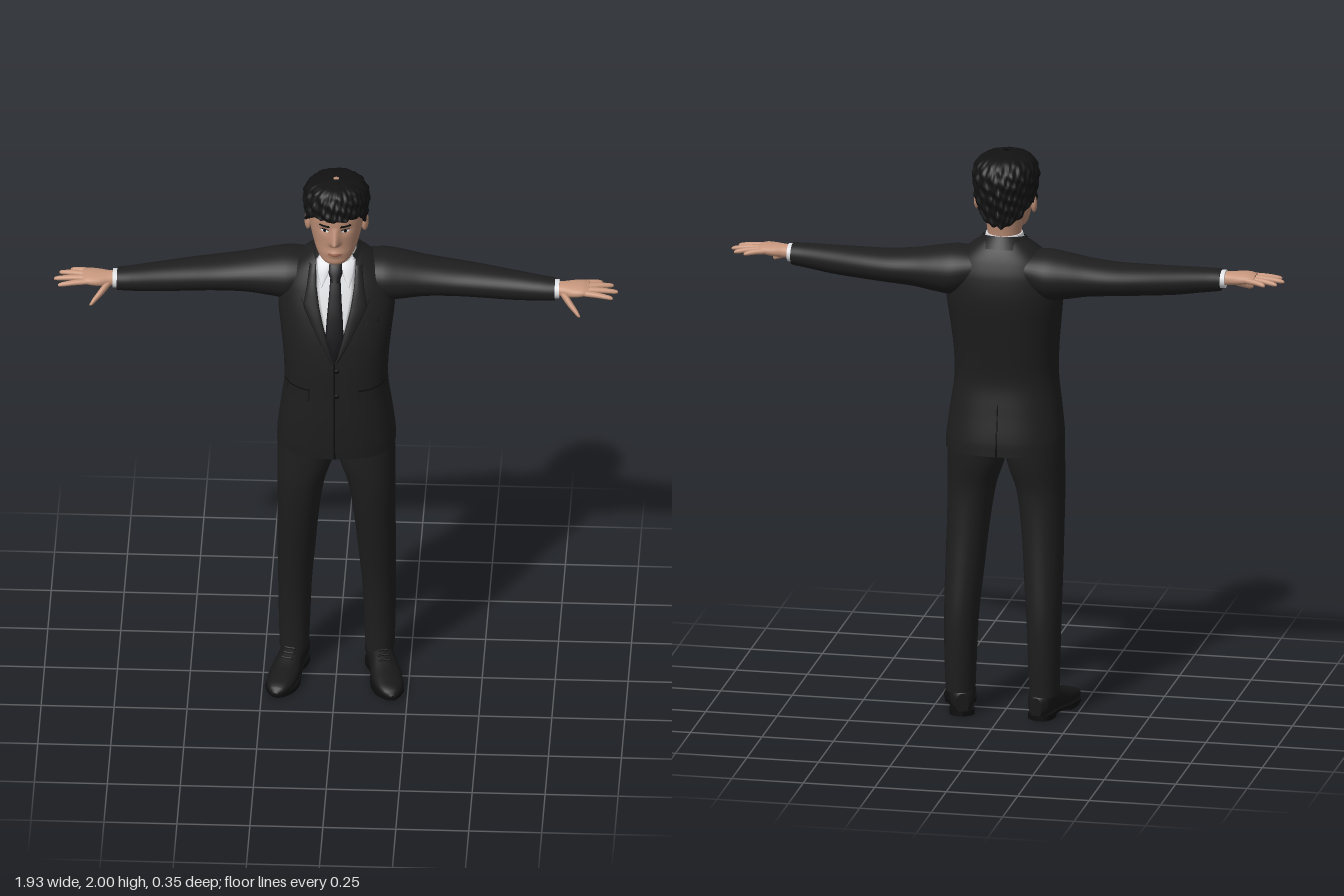
import * as THREE from 'three';
import { mergeVertices } from 'three/addons/utils/BufferGeometryUtils.js';
import { ParametricGeometry } from 'three/addons/geometries/ParametricGeometry.js';

const mat = (name, color) => new THREE.MeshStandardMaterial({ name, color, side: THREE.DoubleSide });
const { sin, cos, abs, sign, max, min, exp, PI } = Math;

// Smooth interpolation of a row table at its first column
function at(rows, t) {
  let i = 0;
  while (i < rows.length - 2 && t > rows[i + 1][0]) i++;
  const slope = (k, c) => {
    const a = rows[max(k - 1, 0)], b = rows[min(k + 1, rows.length - 1)];
    return (b[c] - a[c]) / (b[0] - a[0]);
  };
  const A = rows[i], B = rows[i + 1], h = B[0] - A[0];
  const s = min(max((t - A[0]) / h, 0), 1), s2 = s * s, s3 = s2 * s;
  return A.map((a, c) => c === 0 ? t : (2 * s3 - 3 * s2 + 1) * a + (s3 - 2 * s2 + s) * h * slope(i, c)
    + (3 * s2 - 2 * s3) * B[c] + (s3 - s2) * h * slope(i + 1, c));
}

// Closed body from rows [t, centreA, centreB, radiusA, radiusB] along an axis
function loft(rows, axis, { p = 2, seg = 40, steps = 4, rule } = {}) {
  const pos = [], idx = [], ts = [];
  rows.forEach((r, i) => {
    if (i) for (let k = 1; k <= steps; k++) ts.push(rows[i - 1][0] + (r[0] - rows[i - 1][0]) * k / steps);
    else ts.push(r[0]);
  });
  const place = (t, a, b) => axis === 'x' ? [t, a, b] : axis === 'y' ? [a, t, b] : [a, b, t];
  const ring = (t) => {
    const [, ca, cb, ra, rb] = at(rows, t), start = pos.length / 3;
    for (let j = 0; j < seg; j++) {
      const q = j / seg * 2 * PI, c = cos(q), s = sin(q);
      const v = place(t, ca + ra * sign(c) * abs(c) ** (2 / p), cb + rb * sign(s) * abs(s) ** (2 / p));
      if (rule) rule(v, cb);
      pos.push(...v);
    }
    return start;
  };
  // The y axis turns the other way round from x and z
  const tri = (a, b, c) => axis === 'y' ? idx.push(a, c, b) : idx.push(a, b, c);
  const starts = ts.map(ring);
  for (let i = 0; i + 1 < starts.length; i++) for (let j = 0; j < seg; j++) {
    const k = (j + 1) % seg, a = starts[i], b = starts[i + 1];
    tri(a + j, a + k, b + j);
    tri(a + k, b + k, b + j);
  }
  [ts[0], ts[ts.length - 1]].forEach((t, end) => {
    const s = ring(t), r = at(rows, t), m = pos.length / 3;
    pos.push(...place(t, r[1], r[2]));
    for (let j = 0; j < seg; j++) {
      const k = (j + 1) % seg;
      end ? tri(m, s + j, s + k) : tri(m, s + k, s + j);
    }
  });
  const g = new THREE.BufferGeometry();
  g.setAttribute('position', new THREE.Float32BufferAttribute(pos, 3));
  g.setIndex(idx);
  g.computeVertexNormals();
  return g;
}

function mirrored(geo) {
  const g = geo.index ? geo.clone() : mergeVertices(geo);
  g.scale(-1, 1, 1);
  const a = g.index.array;
  for (let i = 0; i < a.length; i += 3) [a[i], a[i + 1]] = [a[i + 1], a[i]];
  return g;
}

const surface = (f, nu, nv) => new ParametricGeometry((u, v, o) => o.set(...f(u, v)), nu, nv);
const lerpList = (list, t) => {
  const f = min(max(t, 0), 1) * (list.length - 1), i = min(Math.floor(f), list.length - 2);
  return list[i] + (list[i + 1] - list[i]) * (f - i);
};

// Depth of a lofted body's front (side 1) or back (side -1)
function depth(rows, p, x, y, side = 1) {
  const [, cx, cz, rx, rz] = at(rows, y);
  return cz + side * rz * max(0, 1 - abs((x - cx) / rx) ** p) ** (1 / p);
}

const TORSO = [[0.95, 0, -0.017, 0.203, 0.157], [1.0, 0, -0.013, 0.202, 0.158], [1.1, 0, -0.002, 0.19, 0.152],
  [1.2, 0, 0.005, 0.178, 0.145], [1.3, 0, 0, 0.18, 0.15], [1.4, 0, -0.012, 0.19, 0.152], [1.5, 0, -0.03, 0.2, 0.145],
  [1.58, 0, -0.042, 0.192, 0.127], [1.63, 0, -0.046, 0.165, 0.108], [1.67, 0, -0.047, 0.12, 0.088], [1.7, 0, -0.052, 0.08, 0.062]];
const HEAD = [[1.7, 0, 0.05, 0.022, 0.03], [1.715, 0, 0.055, 0.045, 0.054], [1.74, 0, 0.03, 0.066, 0.083],
  [1.78, 0, 0.005, 0.081, 0.105], [1.83, 0, -0.005, 0.092, 0.114], [1.88, 0, -0.01, 0.095, 0.118],
  [1.93, 0, -0.012, 0.09, 0.11], [1.97, 0, -0.01, 0.055, 0.065], [1.98, 0, -0.01, 0.02, 0.02]];
const HAIR = [[1.74, 0, -0.06, 0.068, 0.055], [1.8, 0, -0.022, 0.098, 0.104], [1.86, 0, -0.01, 0.106, 0.126],
  [1.92, 0, -0.01, 0.113, 0.127], [1.96, 0, -0.006, 0.102, 0.112], [1.985, 0, 0, 0.072, 0.08], [1.998, 0, 0.005, 0.01, 0.01]];

// Relief of nose, eye sockets, lips and chin
function relief(x, y) {
  const nose = y > 1.8 ? max(0, 1 - (y - 1.8) / 0.06) : max(0, 1 - (1.8 - y) / 0.014);
  return 0.033 * nose * exp(-((x / 0.014) ** 2))
    - 0.008 * exp(-(((abs(x) - 0.036) / 0.018) ** 2) - ((y - 1.845) / 0.014) ** 2)
    + 0.007 * exp(-((x / 0.026) ** 2) - ((y - 1.757) / 0.011) ** 2);
}
const faceZ = (x, y) => depth(HEAD, 2, x, y) + relief(x, y);
const chestZ = (x, y) => depth(TORSO, 2.4, x, y);
const backZ = (x, y) => depth(TORSO, 2.4, x, y, -1);

// Thin plate following a body, between two edges given from bottom to top
function patch(zAt, y0, y1, left, right, off, nu = 10, nv = 24) {
  return surface((u, v) => {
    const y = y0 + (y1 - y0) * v, a = lerpList(left, v), x = a + (lerpList(right, v) - a) * u;
    return [x, y, zAt(x, y) + off * (0.35 + 0.65 * max(0, sin(PI * u)) ** 0.3)];
  }, nu, nv);
}
// Thin oval lying on the face
const oval = (cx, cy, rx, ry, off) => surface((u, v) => {
  const y = cy + (v * 2 - 1) * ry, x = cx + (u * 2 - 1) * rx * Math.sqrt(max(0, 1 - (v * 2 - 1) ** 2));
  return [x, y, faceZ(x, y) + off];
}, 10, 10);

export function createModel() {
  const model = new THREE.Group();
  const suit = mat('suit black', 0x1e1e1f), seam = mat('seam black', 0x0d0d0e), hairMat = mat('hair black', 0x121213);
  const faceSkin = mat('face skin', 0xb98b73), handSkin = mat('hand skin', 0xc8987e), lip = mat('lip', 0x96634f);
  const white = mat('shirt white', 0xdedfe2), tieMat = mat('tie black', 0x141417), shoeMat = mat('shoe black', 0x171718);
  const add = (name, geo, m) => {
    const mesh = new THREE.Mesh(geo, m);
    mesh.name = name;
    model.add(mesh);
  };
  const pair = (name, geo, m) => {
    add(name + 'Left', geo, m);
    add(name + 'Right', mirrored(geo), m);
  };

  // Jacket body, collar, lapels and pockets
  add('jacket', loft(TORSO, 'y', { p: 2.4, seg: 64, steps: 5 }), suit);
  add('jacketCollar', surface((u, v) => {
    const a = (u * 2 - 1) * 2.3, back = (cos(a) + 1) / 2, r = 1 - v;
    return [sin(a) * (0.074 + 0.034 * r), 1.695 + 0.025 * back - r * 0.04, -0.035 - cos(a) * (0.072 + 0.028 * r)];
  }, 40, 6), suit);
  pair('lapel', patch(chestZ, 1.34, 1.67, [0.002, 0.02, 0.038, 0.054, 0.064, 0.068],
    [0.006, 0.045, 0.078, 0.11, 0.098, 0.09], 0.013), suit);
  pair('lapelEdge', patch(chestZ, 1.34, 1.56, [0.006, 0.045, 0.08, 0.115], [0.01, 0.05, 0.085, 0.119], 0.003, 3), seam);
  pair('pocketFlap', patch(chestZ, 1.185, 1.225, [0.085, 0.085], [0.168, 0.168], 0.009), suit);
  pair('pocketSeam', patch(chestZ, 1.225, 1.23, [0.083, 0.083], [0.169, 0.169], 0.005), seam);
  add('breastPocket', patch(chestZ, 1.475, 1.49, [0.1, 0.1], [0.15, 0.15], 0.006), suit);
  add('frontOpening', patch(chestZ, 0.951, 1.34, [-0.003, -0.002], [0.003, 0.002], 0.003, 3), seam);
  add('backVent', patch(backZ, 0.951, 1.13, [-0.003, -0.002], [0.003, 0.002], -0.003, 3), seam);
  for (const y of [1.31, 1.21]) {
    const g = new THREE.SphereGeometry(0.009, 12, 8).scale(1, 1, 0.4);
    add('button', g.translate(0.008, y, chestZ(0, y) + 0.003), seam);
  }

  // Shirt front, collar and tie
  add('shirtFront', patch(chestZ, 1.35, 1.69, [-0.004, -0.038, -0.064, -0.068], [0.004, 0.038, 0.064, 0.068], 0.004), white);
  add('shirtCollar', loft([[1.65, 0, -0.028, 0.074, 0.078], [1.69, 0, -0.031, 0.07, 0.073], [1.718, 0, -0.036, 0.063, 0.066]], 'y'), white);
  pair('collarWing', patch(chestZ, 1.605, 1.685, [0.045, 0.024, 0.01], [0.049, 0.062, 0.068], 0.014), white);
  add('tieBlade', patch(chestZ, 1.35, 1.64, [-0.006, -0.032, -0.028, -0.022, -0.017], [0.006, 0.032, 0.028, 0.022, 0.017], 0.012), tieMat);
  add('tieKnot', patch(chestZ, 1.625, 1.682, [-0.015, -0.025, -0.024], [0.015, 0.025, 0.024], 0.022), tieMat);

  // Sleeves, cuffs and hands
  pair('sleeve', loft([[0.08, 1.6, -0.06, 0.062, 0.09], [0.16, 1.583, -0.06, 0.086, 0.106], [0.22, 1.581, -0.06, 0.08, 0.1],
    [0.3, 1.58, -0.057, 0.066, 0.088], [0.4, 1.577, -0.05, 0.057, 0.08], [0.5, 1.576, -0.035, 0.053, 0.071],
    [0.6, 1.575, -0.016, 0.049, 0.06], [0.7, 1.577, 0.004, 0.042, 0.05], [0.75, 1.578, 0.011, 0.038, 0.045]], 'x'), suit);
  pair('cuff', loft([[0.72, 1.579, 0.01, 0.032, 0.04], [0.765, 1.581, 0.014, 0.031, 0.038]], 'x'), white);
  pair('palm', loft([[0.74, 1.582, 0.014, 0.023, 0.028], [0.78, 1.584, 0.018, 0.022, 0.033], [0.81, 1.586, 0.02, 0.021, 0.043],
    [0.845, 1.589, 0.02, 0.018, 0.046], [0.868, 1.59, 0.018, 0.011, 0.04]], 'x', { p: 2.3, seg: 28 }), handSkin);
  // x, z at the root and x, z at the tip
  [[0.84, -0.015, 0.912, -0.037], [0.85, 0.006, 0.95, -0.018], [0.85, 0.028, 0.967, 0.024], [0.84, 0.05, 0.951, 0.067]]
    .forEach(([x0, z0, x1, z1], i) => {
      const rows = [[0, 1, 0.0125], [0.5, 0.99, 0.011], [0.85, 0.98, 0.009], [0.97, 0.975, 0.006], [1, 0.97, 0.002]]
        .map(([t, , r]) => [x0 + (x1 - x0) * t, 1.588 - 0.009 * t * t, z0 + (z1 - z0) * t, r * 0.85, r]);
      pair('finger' + (i + 1), loft(rows, 'x', { seg: 14 }), handSkin);
    });
  pair('thumb', loft([[0.77, 1.578, 0.03, 0.012, 0.015], [0.795, 1.563, 0.06, 0.017, 0.021], [0.815, 1.548, 0.083, 0.014, 0.017],
    [0.832, 1.535, 0.102, 0.01, 0.012], [0.84, 1.53, 0.11, 0.003, 0.004]], 'x', { seg: 18 }), handSkin);

  // Trousers
  pair('trouserLeg', loft([[0.085, 0.147, -0.065, 0.05, 0.066], [0.2, 0.146, -0.068, 0.054, 0.073], [0.35, 0.144, -0.062, 0.058, 0.083],
    [0.5, 0.138, -0.04, 0.065, 0.09], [0.65, 0.131, -0.016, 0.071, 0.098], [0.8, 0.12, 0, 0.082, 0.107],
    [0.9, 0.104, -0.005, 0.098, 0.118], [1.0, 0.1, -0.01, 0.1, 0.122]], 'y', { p: 2.2 }), suit);

  // Shoes with soles, heels and laces, toes turned out
  const onFoot = (g) => g.rotateY(0.24).translate(0.145, 0, -0.055);
  const upper = [[-0.072, 0.022, 0.035], [-0.05, 0.04, 0.05], [0, 0.043, 0.053], [0.06, 0.045, 0.044], [0.12, 0.052, 0.032],
    [0.18, 0.047, 0.023], [0.22, 0.03, 0.016], [0.236, 0.008, 0.007]].map(([z, rx, ry]) => [z, 0, ry + 0.011, rx, ry]);
  pair('shoe', onFoot(loft(upper, 'z', { p: 2.3 })), shoeMat);
  const slab = (pts, h) => new THREE.ExtrudeGeometry(
    new THREE.Shape(new THREE.SplineCurve(pts.map(([x, z]) => new THREE.Vector2(x, -z))).getPoints(50)),
    { depth: h, bevelEnabled: false }).rotateX(-PI / 2);
  pair('sole', onFoot(slab([[0, -0.076], [0.04, -0.05], [0.04, 0.04], [0.055, 0.12], [0.047, 0.19], [0, 0.24],
    [-0.047, 0.19], [-0.055, 0.12], [-0.04, 0.04], [-0.04, -0.05], [0, -0.076]], 0.01).translate(0, 0.009, 0)), seam);
  pair('heel', onFoot(slab([[0, -0.074], [0.039, -0.05], [0.038, 0.015], [0, 0.02], [-0.038, 0.015], [-0.039, -0.05], [0, -0.074]], 0.012)), seam);
  pair('frontSole', onFoot(slab([[0, 0.08], [0.05, 0.1], [0.045, 0.18], [0, 0.225], [-0.045, 0.18], [-0.05, 0.1], [0, 0.08]], 0.01)), seam);
  for (const z of [0.055, 0.075, 0.095]) {
    const y = at(upper, z)[2] + at(upper, z)[4];
    pair('lace', onFoot(new THREE.CapsuleGeometry(0.004, 0.034, 4, 8).rotateZ(PI / 2).translate(0, y, z)), seam);
  }

  // Neck, head and ears
  add('neck', loft([[1.63, 0, -0.04, 0.062, 0.064], [1.7, 0, -0.035, 0.057, 0.06], [1.78, 0, -0.03, 0.066, 0.075]], 'y'), faceSkin);
  add('head', loft(HEAD, 'y', { seg: 96, steps: 9, rule: (v, cz) => { if (v[2] > cz) v[2] += relief(v[0], v[1]); } }), faceSkin);
  pair('ear', new THREE.SphereGeometry(1, 16, 12).scale(0.011, 0.033, 0.019).rotateY(-0.35).rotateX(-0.12).translate(0.098, 1.818, -0.012), faceSkin);

  // Eyes, brows and mouth
  pair('eyeWhite', oval(0.036, 1.843, 0.014, 0.0055, 0.002), white);
  pair('iris', oval(0.036, 1.843, 0.0055, 0.0052, 0.0035), seam);
  pair('upperLid', oval(0.036, 1.849, 0.016, 0.002, 0.0035), seam);
  pair('brow', patch(faceZ, 1.861, 1.869, [0.017, 0.022], [0.056, 0.052], 0.005, 10, 4), hairMat);
  add('mouth', oval(0, 1.757, 0.025, 0.006, 0.0015), lip);

  // Hair cap with an uneven hairline and tousled locks
  const hairline = [1.888, 1.888, 1.89, 1.885, 1.845, 1.815, 1.835, 1.8, 1.77, 1.757, 1.752];
  add('hair', surface((u, v) => {
    const a = (u * 2 - 1) * PI, y0 = lerpList(hairline, abs(a) / PI) + 0.004 * sin(a * 17);
    const w = max(0, (v - 0.05) / 0.95), y = y0 + (1.998 - y0) * sin(w * PI / 2);
    const [, , cz, rx, rz] = at(HAIR, y);
    const lock = (1 - w * 0.6) * (0.025 * sin(a * 19 + y * 60) + 0.018 * sin(a * 31 - y * 95) + 0.02 * sin(y * 150 + a * 7));
    const k = v < 0.05 ? 0.86 : 1.0 + lock;
    return [sin(a) * rx * k, y + 0.002 * sin(a * 9) * (1 - w), cz + cos(a) * rz * k];
  }, 128, 40), hairMat);

  return model;
}
